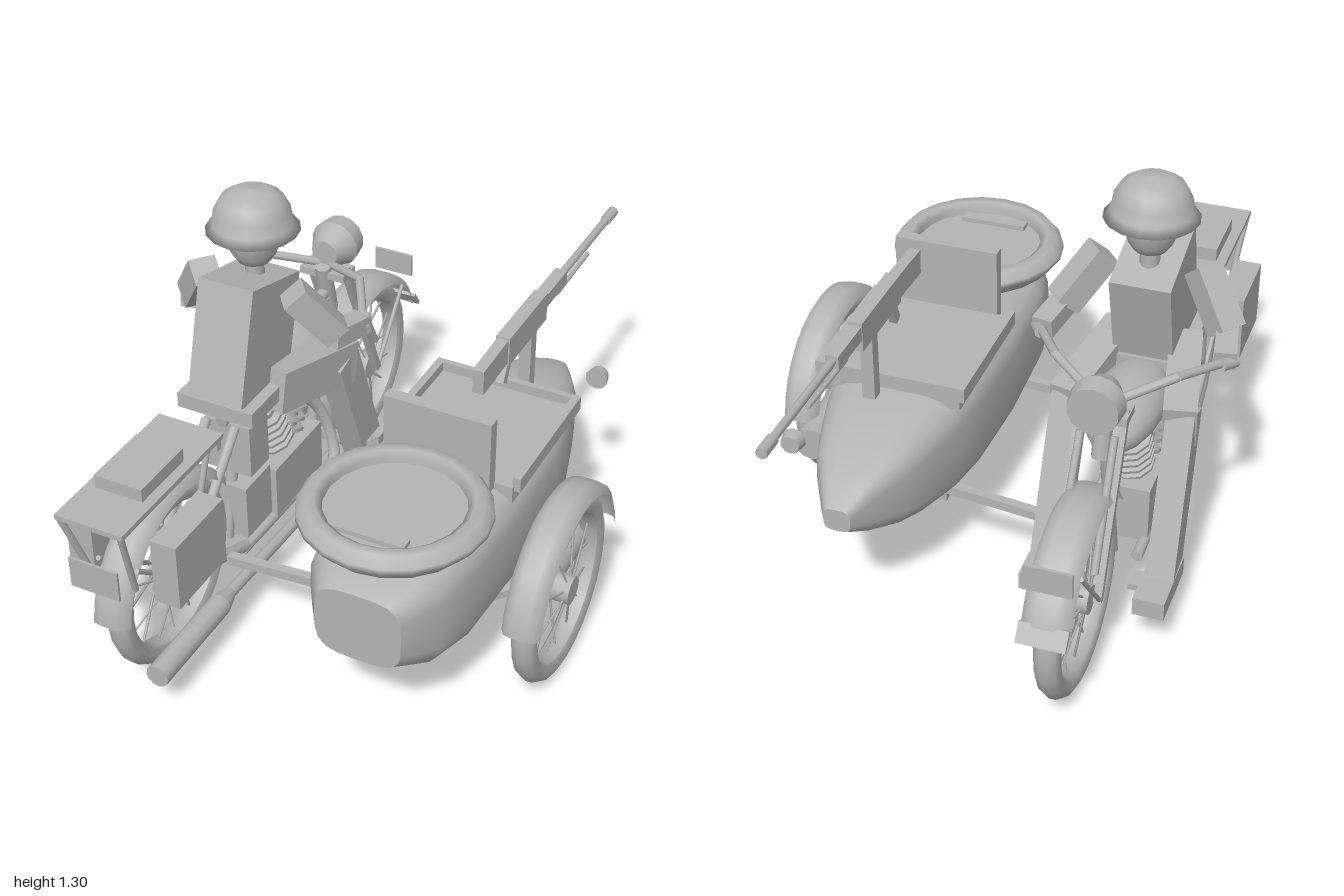
import * as THREE from 'three';

const grey = new THREE.MeshStandardMaterial({ color: 0xb4b4b4, side: THREE.DoubleSide });
grey.name = 'plain grey';
const V = (p) => new THREE.Vector3(...p);
const BX = -0.415; // centre line of the motorcycle

export function createModel() {
  const root = new THREE.Group();
  root.name = 'motorcycleWithSidecar';

  const add = (name, geo, pos = [0, 0, 0], parent = root) => {
    const m = new THREE.Mesh(geo, grey);
    m.name = name;
    m.position.set(...pos);
    parent.add(m);
    return m;
  };
  // box given by its limits on each axis
  const box = (name, x0, x1, y0, y1, z0, z1) => add(name, new THREE.BoxGeometry(x1 - x0, y1 - y0, z1 - z0),
    [(x0 + x1) / 2, (y0 + y1) / 2, (z0 + z1) / 2]);
  // square bar between two points
  const bar = (name, a, b, w, d = w) => {
    const m = add(name, new THREE.BoxGeometry(w, d, V(a).distanceTo(V(b))));
    m.position.copy(V(a).add(V(b)).multiplyScalar(0.5));
    m.lookAt(V(b));
    return m;
  };
  // round rod between two points
  const rod = (name, a, b, r, r2 = r, parent = root, sides = 8) => {
    const dir = V(b).sub(V(a));
    const m = add(name, new THREE.CylinderGeometry(r2, r, dir.length(), sides), [0, 0, 0], parent);
    m.position.copy(V(a).add(V(b)).multiplyScalar(0.5));
    m.quaternion.setFromUnitVectors(new THREE.Vector3(0, 1, 0), dir.normalize());
    return m;
  };
  const lathe = (pts, n, start = 0, len = Math.PI * 2) =>
    new THREE.LatheGeometry(pts.map((p) => new THREE.Vector2(...p)), n, start, len);

  // Wheels: tyre, rim, hub and spokes
  const wheel = (name, x, z) => {
    const g = new THREE.Group();
    g.name = name;
    g.position.set(x, 0.295, z);
    root.add(g);
    add('tyre', lathe([[0.235, -0.028], [0.262, -0.041], [0.284, -0.03], [0.295, -0.01], [0.295, 0.01],
      [0.284, 0.03], [0.262, 0.041], [0.235, 0.028], [0.228, 0], [0.235, -0.028]], 24).rotateZ(Math.PI / 2), [0, 0, 0], g);
    rod('hub', [-0.045, 0, 0], [0.045, 0, 0], 0.045, 0.045, g, 12);
    for (let i = 0; i < 16; i++) {
      const a = (i / 16) * Math.PI * 2, s = i % 2 ? 0.03 : -0.03;
      rod('spoke', [s, Math.sin(a) * 0.03, Math.cos(a) * 0.03], [0, Math.sin(a) * 0.232, Math.cos(a) * 0.232], 0.004, 0.004, g, 4);
    }
  };
  wheel('frontWheel', BX, -0.61);
  wheel('rearWheel', BX, 0.633);
  wheel('sidecarWheel', 0.657, 0.18);

  // Mudguards: angles in degrees run from the rear over the top to the front
  const guard = (name, x, z, w, from, to, r = 0.328) => {
    const rad = Math.PI / 180;
    add(name, lathe([[r - 0.03, -w / 2], [r - 0.005, -w * 0.38], [r, -w * 0.2], [r, w * 0.2], [r - 0.005, w * 0.38],
      [r - 0.03, w / 2]], 14, from * rad, (to - from) * rad).rotateZ(Math.PI / 2), [x, 0.295, z]);
  };
  guard('frontMudguard', BX, -0.61, 0.143, 45, 165);
  guard('rearMudguard', BX, 0.633, 0.125, 5, 145);
  guard('sidecarMudguard', 0.657, 0.175, 0.12, 8, 172);
  bar('frontMudguardFlap', [BX, 0.43, -0.9], [BX, 0.38, -0.935], 0.143, 0.012);
  box('frontPlate', BX - 0.07, BX + 0.07, 0.525, 0.605, -0.88, -0.87);
  box('rearPlate', BX - 0.08, BX + 0.08, 0.48, 0.58, 0.985, 0.993);

  // Sidecar hull: rounded cross-sections [z, half width, bottom, top]
  const sections = [[0.757, 0.135, 0.325, 0.56], [0.65, 0.205, 0.27, 0.605], [0.5, 0.24, 0.245, 0.62], [0.2, 0.252, 0.237, 0.63],
    [-0.1, 0.242, 0.24, 0.625], [-0.25, 0.22, 0.25, 0.61], [-0.4, 0.178, 0.275, 0.585], [-0.5, 0.143, 0.305, 0.56],
    [-0.6, 0.088, 0.35, 0.52], [-0.68, 0.042, 0.4, 0.475]];
  const N = 24, pos = [], idx = [];
  const ring = ([z, w, y0, y1]) => {
    for (let i = 0; i < N; i++) {
      const a = (i / N) * Math.PI * 2, c = Math.cos(a), s = Math.sin(a);
      pos.push(0.285 + w * Math.sign(c) * Math.abs(c) ** 0.55, (y0 + y1) / 2 + ((y1 - y0) / 2) * Math.sign(s) * Math.abs(s) ** 0.55, z);
    }
  };
  sections.forEach(ring);
  for (let k = 0; k < sections.length - 1; k++) for (let i = 0; i < N; i++) {
    const a = k * N + i, b = k * N + (i + 1) % N;
    idx.push(a, a + N, b, b, a + N, b + N);
  }
  // separate end caps keep the edges sharp
  for (const [sec, flip] of [[sections[0], false], [sections[sections.length - 1], true]]) {
    const s = pos.length / 3;
    ring(sec);
    for (let i = 1; i < N - 1; i++) idx.push(s, s + (flip ? i + 1 : i), s + (flip ? i : i + 1));
  }
  const hull = new THREE.BufferGeometry();
  hull.setAttribute('position', new THREE.Float32BufferAttribute(pos, 3));
  hull.setIndex(idx);
  hull.computeVertexNormals();
  add('sidecarHull', hull);

  // Cockpit cover, rails and backrest
  box('cockpitCover', 0.07, 0.51, 0.58, 0.637, -0.24, 0.22);
  box('cockpitRail', 0.05, 0.075, 0.62, 0.668, -0.25, 0.21);
  box('cockpitRail', 0.505, 0.53, 0.62, 0.668, -0.25, 0.21);
  box('cockpitFrontRail', 0.05, 0.53, 0.62, 0.668, -0.255, -0.235);
  box('backrest', 0.113, 0.452, 0.62, 0.86, 0.215, 0.255);

  // Spare wheel on the rear deck
  add('spareTyre', lathe([[0.205, 0.65], [0.245, 0.65], [0.28, 0.69], [0.278, 0.705], [0.255, 0.735], [0.225, 0.735],
    [0.205, 0.72], [0.205, 0.65]], 20), [0.283, 0, 0.52]);
  add('spareWheelDisc', new THREE.CylinderGeometry(0.207, 0.207, 0.04, 20), [0.283, 0.68, 0.52]);
  add('spareWheelPost', new THREE.CylinderGeometry(0.108, 0.108, 0.06, 12), [0.283, 0.63, 0.52]);
  box('spareWheelClamp', 0.17, 0.39, 0.69, 0.715, 0.645, 0.685);

  // Canister, marker lamp and sidecar chassis
  rod('canister', [0.593, 0.3, 0.13], [0.593, 0.3, -0.2], 0.058, 0.058, root, 12);
  rod('markerLamp', [0.487, 0.563, -0.51], [0.487, 0.563, -0.545], 0.037, 0.03, root, 10);
  bar('rearStrut', [-0.33, 0.22, 0.43], [0.2, 0.26, 0.43], 0.03);
  bar('frontStrut', [-0.38, 0.24, -0.25], [0.2, 0.3, -0.25], 0.03);
  bar('wheelArm', [0.35, 0.24, 0.18], [0.63, 0.32, 0.18], 0.035);
  bar('wheelBrace', [0.45, 0.28, 0.34], [0.61, 0.31, 0.19], 0.025);
  bar('guardBrace', [0.45, 0.3, 0.03], [0.61, 0.33, 0.16], 0.025);
  for (const x of [0.13, 0.43]) box('chassisRail', x - 0.015, x + 0.015, 0.235, 0.265, -0.25, 0.45);

  // Machine gun on its post
  const GX = 0.333;
  box('gunPost', GX - 0.02, GX + 0.02, 0.61, 0.85, -0.31, -0.27);
  box('gunReceiver', GX - 0.022, GX + 0.022, 0.825, 0.92, -0.38, -0.09);
  bar('gunStock', [GX, 0.868, 0.085], [GX, 0.875, -0.1], 0.036, 0.08);
  box('gunJacket', GX - 0.02, GX + 0.02, 0.865, 0.91, -0.545, -0.37);
  rod('gunBarrel', [GX, 0.89, -0.5], [GX, 0.89, -0.95], 0.013);
  rod('gunMuzzle', [GX, 0.89, -0.93], [GX, 0.89, -1], 0.018);
  for (const s of [-1, 1]) rod('foldedBipod', [GX + s * 0.012, 0.86, -0.48], [GX + s * 0.012, 0.867, -0.74], 0.008);
  bar('gunGrip', [GX, 0.84, -0.13], [GX, 0.76, -0.09], 0.025, 0.03);

  // Tank, seat, headlamp
  add('fuelTank', new THREE.SphereGeometry(1, 16, 10).scale(0.112, 0.085, 0.24), [BX, 0.64, -0.12]);
  box('seat', BX - 0.13, BX + 0.13, 0.66, 0.71, 0.02, 0.33);
  rod('headlamp', [BX, 0.86, -0.37], [BX, 0.86, -0.44], 0.045, 0.08, root, 14);
  rod('headlampRim', [BX, 0.86, -0.44], [BX, 0.86, -0.5], 0.082, 0.075, root, 14);

  // Engine with cooling fins
  box('crankcase', BX - 0.09, BX + 0.09, 0.17, 0.36, -0.16, 0.14);
  box('gearbox', BX - 0.07, BX + 0.07, 0.19, 0.38, 0.14, 0.29);
  for (const t of [-0.4, 0.4]) {
    const up = (d) => [BX, 0.31 + d * Math.cos(t), -0.02 + d * Math.sin(t)];
    rod('engineCylinder', up(0), up(0.25), 0.05, 0.05, root, 10);
    for (let i = 0; i < 5; i++) rod('coolingFin', up(0.08 + i * 0.035), up(0.092 + i * 0.035), 0.075, 0.075, root, 10);
  }
  box('batteryBox', BX - 0.08, BX + 0.08, 0.42, 0.6, 0.16, 0.27);

  // Exhaust
  rod('silencer', [-0.297, 0.138, 0.905], [-0.297, 0.138, 0.55], 0.037, 0.037, root, 12);
  rod('silencerCone', [-0.297, 0.138, 0.55], [-0.297, 0.138, 0.49], 0.037, 0.02, root, 12);
  const pipe = new THREE.CatmullRomCurve3([[-0.297, 0.138, 0.5], [-0.297, 0.14, -0.12], [-0.31, 0.19, -0.22],
    [-0.36, 0.36, -0.22], [-0.4, 0.48, -0.13]].map(V));
  add('exhaustPipe', new THREE.TubeGeometry(pipe, 20, 0.02, 8));

  // Luggage rack and box
  box('rackDeck', BX - 0.11, BX + 0.11, 0.705, 0.722, 0.46, 0.993);
  box('luggageBox', BX - 0.078, BX + 0.078, 0.722, 0.765, 0.625, 0.84);
  box('rackCrossbar', BX - 0.1, BX + 0.1, 0.665, 0.705, 0.46, 0.48);

  // Upper frame
  rod('topTube', [BX, 0.72, -0.37], [BX, 0.62, 0.3], 0.02);
  rod('downTube', [BX, 0.7, -0.36], [BX, 0.18, -0.24], 0.02);
  rod('seatTube', [BX, 0.66, 0.2], [BX, 0.18, 0.3], 0.02);
  rod('steeringHead', [BX, 0.82, -0.36], [BX, 0.64, -0.4], 0.028);
  box('forkCrown', BX - 0.08, BX + 0.08, 0.78, 0.805, -0.43, -0.35);

  // Parts mirrored about the motorcycle centre line
  for (const s of [-1, 1]) {
    const P = (dx, y, z) => [BX + s * dx, y, z];
    bar('forkLeg', P(0.065, 0.81, -0.39), P(0.065, 0.295, -0.61), 0.024);
    rod('forkLink', P(0.05, 0.75, -0.44), P(0.055, 0.4, -0.62), 0.012);
    rod('frontMudguardStay', P(0.07, 0.3, -0.61), P(0.07, 0.53, -0.8), 0.007);
    rod('lowerFrame', P(0.08, 0.17, -0.24), P(0.07, 0.17, 0.33), 0.018);
    rod('chainStay', P(0.07, 0.17, 0.3), P(0.06, 0.295, 0.633), 0.018);
    rod('seatStay', P(0.05, 0.62, 0.3), P(0.06, 0.295, 0.633), 0.016);
    rod('mudguardStay', P(0.065, 0.295, 0.633), P(0.065, 0.5, 0.88), 0.008);
    rod('rackStay', P(0.1, 0.71, 0.985), P(0.07, 0.45, 0.9), 0.01);
    rod('rackFrontStay', P(0.08, 0.7, 0.5), P(0.06, 0.31, 0.61), 0.01);
    const a = BX + s * 0.1, b = BX + s * 0.185;
    box('pannier', Math.min(a, b), Math.max(a, b), 0.385, 0.605, 0.6, 0.855);
    rod('handlebar', P(0.02, 0.82, -0.38), P(0.18, 0.87, -0.27), 0.014);
    rod('handlebarEnd', P(0.18, 0.87, -0.27), P(0.28, 0.835, -0.1), 0.014);
    rod('grip', P(0.27, 0.838, -0.13), P(0.3, 0.825, -0.075), 0.019);

    // Rider limbs
    bar('upperArm', P(0.15, 1.01, 0.1), P(0.25, 0.86, 0.02), 0.085);
    bar('forearm', P(0.245, 0.855, 0.05), P(0.275, 0.835, -0.1), 0.065, 0.06);
    bar('thigh', P(0.1, 0.69, 0.16), P(0.172, 0.63, -0.18), 0.1, 0.14);
    bar('lowerLeg', P(0.172, 0.66, -0.13), P(0.178, 0.18, -0.3), 0.085, 0.115);
    box('boot', BX + s * 0.175 - 0.048, BX + s * 0.175 + 0.048, 0.14, 0.2, -0.46, -0.23);
    box('footPeg', BX + s * 0.15 - 0.07, BX + s * 0.15 + 0.07, 0.125, 0.145, -0.34, -0.27);
  }

  // Rider torso, head and helmet
  add('torso', new THREE.BoxGeometry(0.185, 0.37, 0.285), [BX, 0.855, 0.14]).rotation.x = -0.27;
  add('neck', new THREE.CylinderGeometry(0.03, 0.03, 0.1, 10), [BX, 1.05, 0.06]);
  add('head', lathe([[0, 1.065], [0.05, 1.07], [0.07, 1.1], [0.085, 1.15], [0.082, 1.2], [0, 1.21]], 14), [BX, 0, 0.06]);
  add('helmet', lathe([[0.11, 1.18], [0.143, 1.175], [0.122, 1.2], [0.116, 1.235], [0.095, 1.275], [0.06, 1.297], [0, 1.305]], 16), [BX, 0, 0.06]);
  return root;
}
